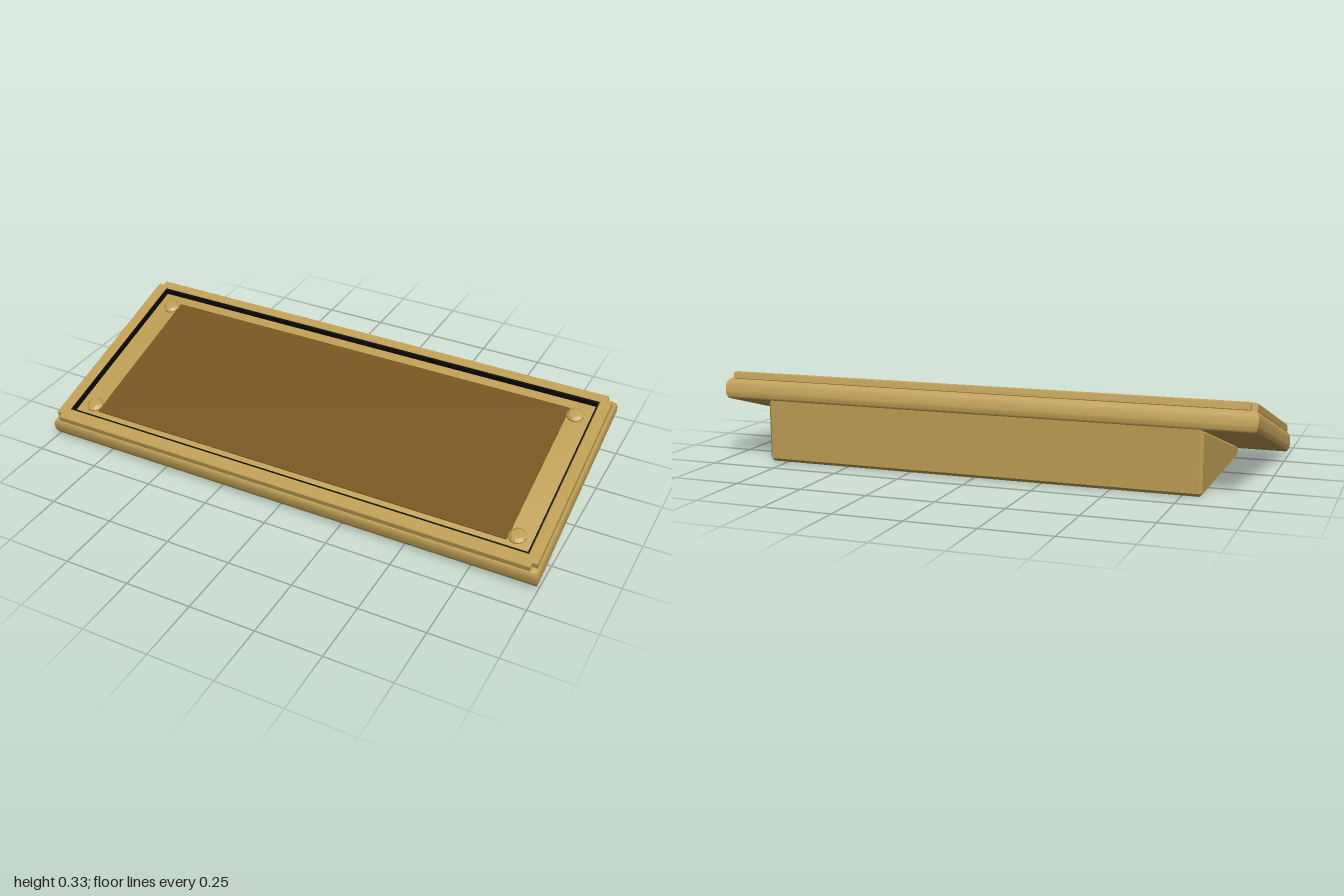
import * as THREE from 'three';
import { toCreasedNormals } from 'three/addons/utils/BufferGeometryUtils.js';

const TILT = 0.276;

function material(name, color) {
  const m = new THREE.MeshStandardMaterial({ color });
  m.name = name;
  return m;
}

const toShape = (points) => new THREE.Shape(points.map(([x, y]) => new THREE.Vector2(x, y)));

// Rectangle outline in plan (x, -z); a notch steps each corner inwards
function outline(x, back, front, notch = 0) {
  const n = notch;
  if (!n) return [[-x, -front], [x, -front], [x, -back], [-x, -back]];
  return [
    [-x + n, -front], [x - n, -front], [x - n, -front + n], [x, -front + n],
    [x, -back - n], [x - n, -back - n], [x - n, -back], [-x + n, -back],
    [-x + n, -back - n], [-x, -back - n], [-x, -front + n], [-x + n, -front + n],
  ];
}

// Flat slab between two heights, with an optional hole and edge bevel
function slab(points, bottom, top, { hole, size = 0, thick = size, segments = 1 } = {}) {
  const shape = toShape(points);
  if (hole) shape.holes.push(toShape(hole));
  const g = new THREE.ExtrudeGeometry(shape, {
    depth: top - bottom - 2 * thick,
    bevelEnabled: size > 0,
    bevelSize: size, bevelOffset: -size, bevelThickness: thick, bevelSegments: segments,
  });
  g.rotateX(-Math.PI / 2);
  g.translate(0, bottom + thick, 0);
  return g;
}

export function createModel() {
  const tan = material('brass', 0xbf9f55);
  const brown = material('dark bronze', 0x76551f);
  const black = material('black', 0x0a0806);

  const model = new THREE.Group();
  model.name = 'slopedPlaque';
  const add = (parent, name, geometry, mat) => {
    const mesh = new THREE.Mesh(geometry, mat);
    mesh.name = name;
    parent.add(mesh);
    return mesh;
  };

  // Wedge base: side profile extruded across the width, all edges chamfered
  const profile = toShape([
    [0.388, 0], [0.4, 0.012], [0.4, 0.233], [-0.292, 0.037], [-0.292, 0.012], [-0.28, 0],
  ].map(([z, y]) => [-z, y]).reverse());
  const bevel = 0.01;
  const wedge = new THREE.ExtrudeGeometry(profile, {
    depth: 1.64 - 2 * bevel, bevelSize: bevel, bevelOffset: -bevel,
    bevelThickness: bevel, bevelSegments: 1,
  });
  wedge.translate(0, 0, -0.82 + bevel);
  wedge.rotateY(Math.PI / 2);
  // profile runs along -z after the turn, so bring the tall end to the back
  wedge.rotateY(Math.PI);
  add(model, 'wedgeBase', wedge, tan);

  // Everything on the slope shares one tilted group
  const top = new THREE.Group();
  top.name = 'tiltedTop';
  top.rotation.x = TILT;
  model.add(top);

  // Slab with softly rounded edges
  const body = slab(outline(1, -0.46, 0.377), 0.113, 0.19, { size: 0.016, thick: 0.032, segments: 6 });
  add(top, 'slab', toCreasedNormals(body, 0.6), tan);

  // Raised frame with stepped corners, and its dark inner lining
  add(top, 'frame', slab(outline(0.99, -0.451, 0.367, 0.02), 0.186, 0.217, {
    hole: outline(0.947, -0.414, 0.316), size: 0.004,
  }), tan);
  add(top, 'frameLining', slab(outline(0.952, -0.419, 0.321), 0.187, 0.212, {
    hole: outline(0.941, -0.406, 0.309),
  }), black);

  // Inset face panel
  add(top, 'facePanel', slab(outline(0.85, -0.366, 0.273), 0.188, 0.194), brown);

  // Screw heads in the four corners
  const head = new THREE.LatheGeometry([
    [0.033, 0], [0.033, 0.008], [0.022, 0.017], [0, 0.019],
  ].map(([r, y]) => new THREE.Vector2(r, y)), 12);
  const screwGeometry = toCreasedNormals(head, 0.3);
  for (const x of [-0.88, 0.88]) {
    for (const z of [-0.34, 0.247]) {
      add(top, 'screwHead', screwGeometry, tan).position.set(x, 0.189, z);
    }
  }

  return model;
}
